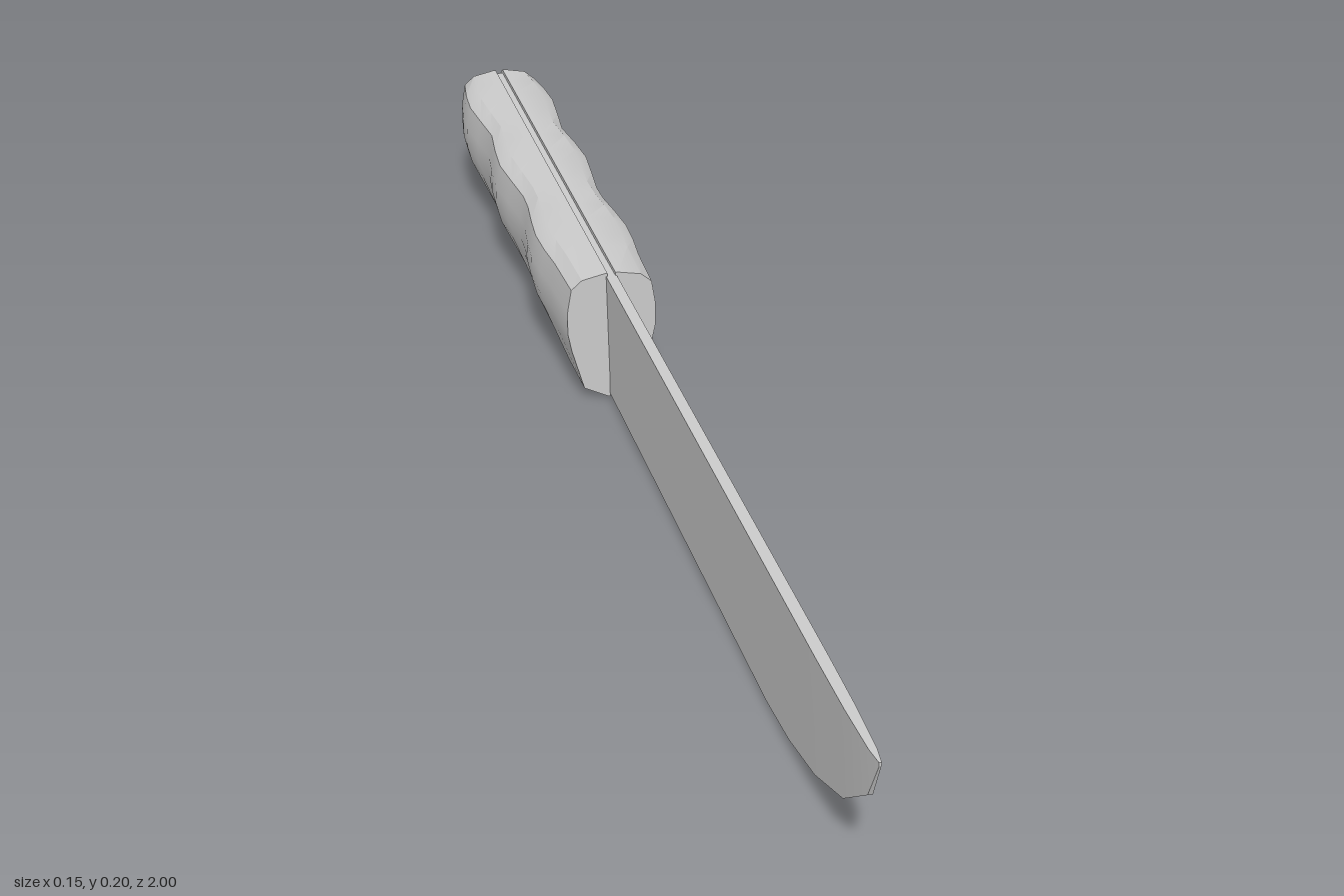
import * as THREE from 'three';
import { toCreasedNormals } from 'three/addons/utils/BufferGeometryUtils.js';

const TOP = 0.202;

// Closed skin over equal-length rings [x, y, z], counter-clockwise seen from +z, ordered front to back.
function loft(rings, crease) {
  const n = rings[0].length, last = (rings.length - 1) * n, index = [];
  for (let s = 0; s < rings.length - 1; s++) {
    for (let i = 0; i < n; i++) {
      const j = (i + 1) % n, a = s * n, b = a + n;
      index.push(a + i, b + i, a + j, a + j, b + i, b + j);
    }
  }
  for (let i = 1; i < n - 1; i++) {
    index.push(0, i, i + 1, last, last + i + 1, last + i);
  }
  const geo = new THREE.BufferGeometry();
  geo.setAttribute('position', new THREE.Float32BufferAttribute(rings.flat(2), 3));
  geo.setIndex(index);
  return toCreasedNormals(geo, crease);
}

// Half thickness of the wedge-shaped steel at height y
const halfThickness = (y) => 0.003 + 0.005 * (y / TOP);

// Handle stations: z, width factor, lift of the finger hollows, end rounding
const stations = [
  [-0.18, 1, 0, 1], [-0.27, 1.06, 0.002, 1], [-0.32, 1.14, 0.016, 1], [-0.37, 1.17, 0.027, 1],
  [-0.42, 1.1, 0.021, 1], [-0.47, 1, 0.01, 1], [-0.51, 0.98, 0.006, 1], [-0.57, 1.08, 0.02, 1],
  [-0.63, 1.17, 0.027, 1], [-0.69, 1.1, 0.019, 1], [-0.75, 0.98, 0.005, 1], [-0.81, 1.08, 0.018, 1],
  [-0.87, 1.17, 0.027, 1], [-0.92, 1.12, 0.016, 1], [-0.97, 1, 0.002, 1],
  [-0.985, 0.97, 0, 0.9], [-0.995, 0.93, 0, 0.74], [-1, 0.9, 0, 0.5],
];

// Outer half of the grip's cross-section, bottom to top: x, y, share of hollow lift
const grip = [
  [0.005, 0.003, 1], [0.042, 0.022, 0.85], [0.06, 0.085, 0.12], [0.066, 0.115, 0],
  [0.066, 0.15, 0], [0.06, 0.186, 0], [0.044, 0.2, 0], [0.01, 0.207, 0],
];

function handleScale(side) {
  const rings = stations.map(([z, width, lift, round]) => {
    const ring = grip.map(([x, y, share], i) => {
      const inner = halfThickness(y);
      const w = i === 0 || i === grip.length - 1 ? 1 : width;
      const outer = inner + (x * w - inner) * round;
      return [side * outer, 0.11 + (y + lift * share - 0.11) * round, z];
    });
    // Flat inner face against the tang
    const high = ring[ring.length - 1][1], low = ring[0][1];
    ring.push([side * 0.006, high, z], [side * 0.003, low, z]);
    return side > 0 ? ring : ring.reverse();
  });
  return loft(rings, 0.5);
}

// Blade stations: z, height of cutting edge, thickness factor
const edge = [
  [1, 0.197, 0.2], [0.975, 0.14, 0.6], [0.9, 0.078, 0.9], [0.8, 0.036, 1],
  [0.7, 0.014, 1], [0.61, 0.006, 1], [-0.18, 0.006, 1],
];

function bladeAndTang() {
  const section = (z, y, k, top) => {
    const b = halfThickness(y) * k * 0.8, t = halfThickness(top) * k;
    return [[-b, y, z], [b, y, z], [t, top, z], [-t, top, z]];
  };
  const rings = edge.map(([z, y, k]) => section(z, y, k, TOP));
  // Tang runs slightly recessed between the two grip halves
  for (const [z, , lift, round] of stations.slice(1)) {
    const inset = z < -0.99 ? 0.004 : 0;
    rings.push(section(z + inset, 0.11 - (0.102 - lift) * round, 1, 0.11 + 0.091 * round));
  }
  return loft(rings, 0.3);
}

export function createModel() {
  const group = new THREE.Group();
  const material = new THREE.MeshStandardMaterial({ color: 0xcccccc });
  const add = (name, geometry) => {
    const mesh = new THREE.Mesh(geometry, material);
    mesh.name = name;
    group.add(mesh);
  };
  add('bladeAndTang', bladeAndTang());
  add('leftHandleScale', handleScale(1));
  add('rightHandleScale', handleScale(-1));
  return group;
}
